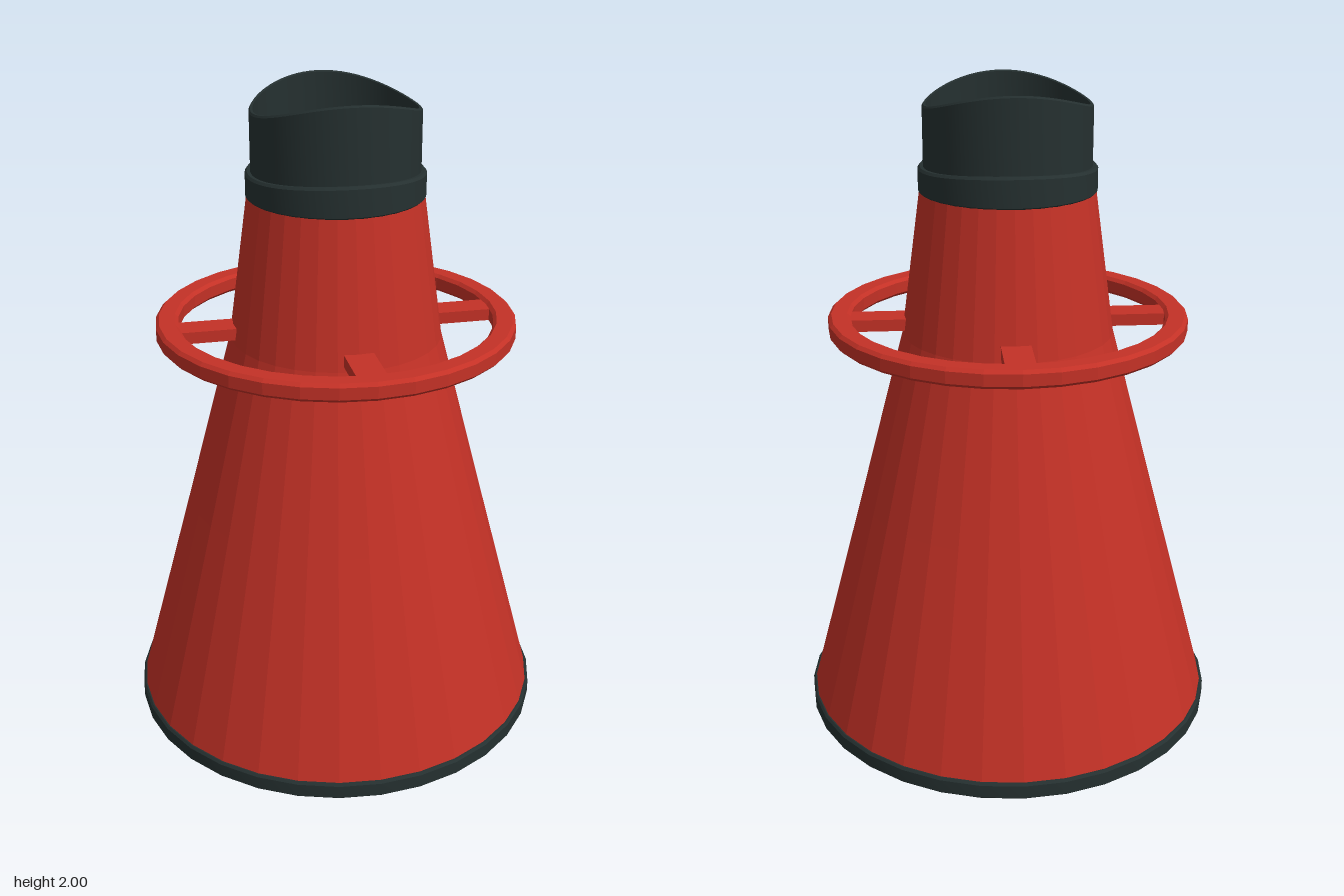
import * as THREE from 'three';
import { toCreasedNormals } from 'three/addons/utils/BufferGeometryUtils.js';

const SIDES = 32;

// Revolve a list of [radius, height] pairs; closed profiles run up the outside
function lathe(points, sides = SIDES) {
  return new THREE.LatheGeometry(points.map(([r, y]) => new THREE.Vector2(r, y)), sides);
}

function named(name, geometry, material) {
  const mesh = new THREE.Mesh(geometry, material);
  mesh.name = name;
  return mesh;
}

export function createModel() {
  const mat = (name, color, extra = {}) => {
    const m = new THREE.MeshStandardMaterial({ color, ...extra });
    m.name = name;
    return m;
  };
  const red = mat('red plastic', 0xc43126, { flatShading: true });
  const dark = mat('dark rubber', 0x253030);
  const glass = mat('pale glass', 0xd0dcda);

  const model = new THREE.Group();
  model.name = 'underwaterViewer';

  // Faceted conical body, tapering more gently above the handle
  model.add(named('body', lathe([
    [0.61, 0.05], [0.642, 0.05], [0.463, 0.72], [0.322, 1.255], [0.262, 1.69], [0.235, 1.69],
  ]), red));

  // Dark rim around the wide window
  model.add(named('baseRim', toCreasedNormals(lathe([
    [0.597, 0], [0.645, 0], [0.651, 0.006], [0.651, 0.047], [0.645, 0.054], [0.597, 0.054], [0.597, 0],
  ]), 0.5), dark));

  // Wide window
  const lower = named('lowerWindow', new THREE.CylinderGeometry(0.6, 0.6, 0.03, SIDES), glass);
  lower.position.y = 0.018;
  model.add(lower);

  // Ring handle with bevelled edges
  model.add(named('handleRing', lathe([
    [0.488, 1.26], [0.536, 1.26], [0.546, 1.27], [0.546, 1.306], [0.536, 1.316],
    [0.488, 1.316], [0.478, 1.306], [0.478, 1.27], [0.488, 1.26],
  ]), red));

  // Four spokes joining the ring to the body
  for (let i = 0; i < 4; i++) {
    const spoke = named('handleSpoke', new THREE.BoxGeometry(0.19, 0.036, 0.088), red);
    const a = i * Math.PI / 2;
    spoke.position.set(Math.cos(a) * 0.387, 1.288, Math.sin(a) * 0.387);
    spoke.rotation.y = -a;
    model.add(spoke);
  }

  // Eyepiece with collar; the top sweeps up into a saddle toward front and back
  const cup = lathe([
    [0.228, 1.685], [0.258, 1.685], [0.265, 1.692], [0.265, 1.755], [0.259, 1.762], [0.249, 1.762],
    [0.249, 1.934], [0.245, 1.94], [0.238, 1.94], [0.238, 1.75], [0.228, 1.75], [0.228, 1.685],
  ], 64);
  const p = cup.attributes.position;
  for (let i = 0; i < p.count; i++) {
    const lift = Math.max(0, (p.getY(i) - 1.69) / 0.25);
    p.setY(i, p.getY(i) + 0.062 * lift * (p.getZ(i) / 0.249) ** 2);
  }
  model.add(named('eyepiece', toCreasedNormals(cup, 0.5), dark));

  // Small window inside the eyepiece
  const upper = named('upperWindow', new THREE.CylinderGeometry(0.232, 0.232, 0.03, 64), glass);
  upper.position.y = 1.722;
  model.add(upper);

  return model;
}
